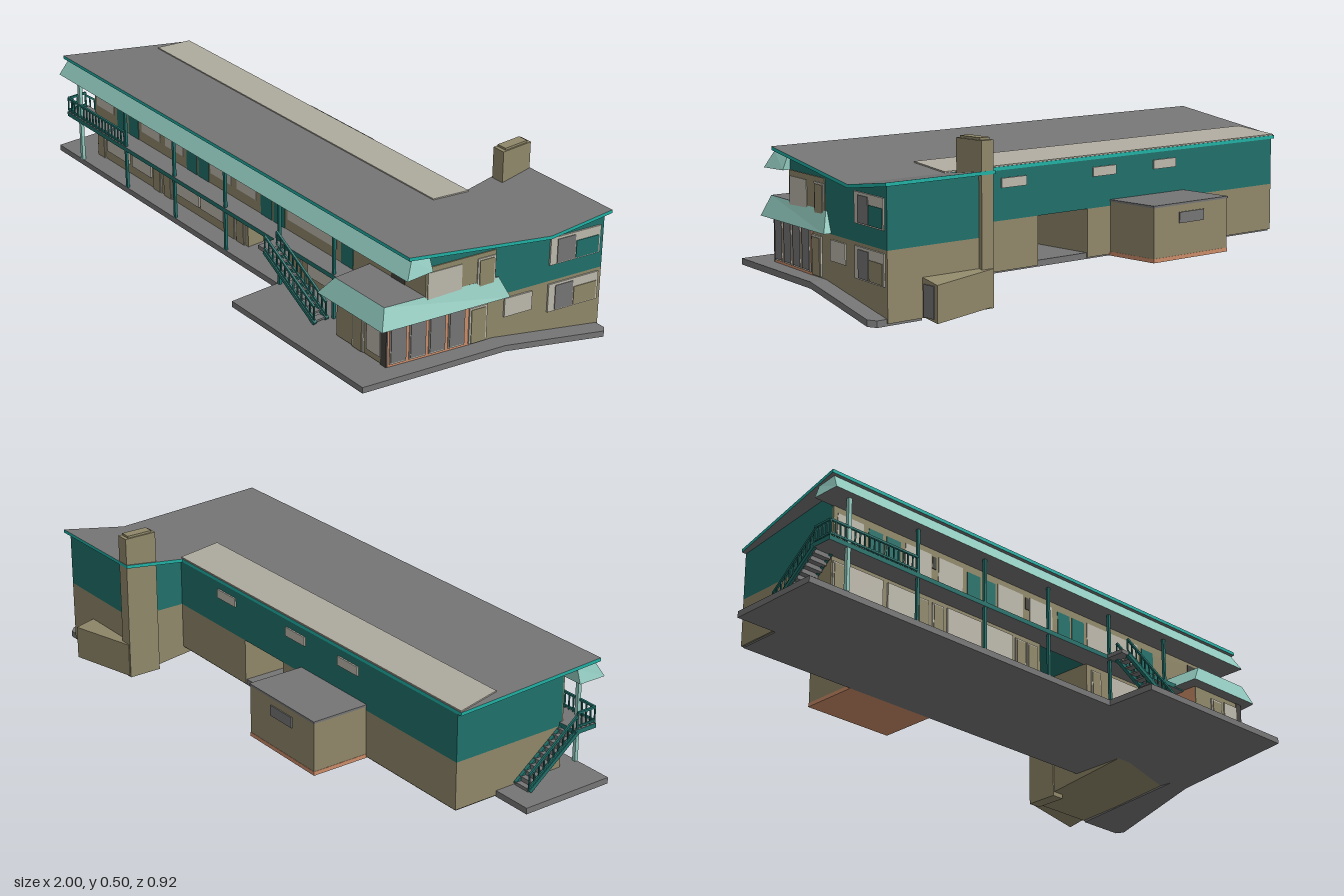
import * as THREE from 'three';

const paint = (name, color) => Object.assign(new THREE.MeshStandardMaterial({ color }), { name });

export function createModel() {
  const root = new THREE.Group();
  root.name = 'motel';
  const grey = paint('roof and paving grey', 0x757575);
  const beige = paint('beige wall', 0x8f8769);
  const teal = paint('dark teal wall', 0x20706a);
  const mint = paint('pale teal fascia', 0x90c8bd);
  const aqua = paint('bright teal trim', 0x20b0a4);
  const light = paint('light window', 0xbcb8ac);
  const tan = paint('pale roof strip', 0xaeaa9e);
  const salmon = paint('salmon trim', 0xcb8c69);
  const dark = paint('dark stone', 0x45433e);

  const add = (name, geo, mat) => {
    const mesh = new THREE.Mesh(geo, mat);
    mesh.name = name;
    root.add(mesh);
    return mesh;
  };

  // Prism over an [x, z] loop; heights may be rules of z, and the top loop may differ.
  const prism = (name, loop, y0, y1, mat, topLoop = loop) => {
    const shape = new THREE.Shape(loop.map(([x, z]) => new THREE.Vector2(x, -z)));
    const geo = new THREE.ExtrudeGeometry(shape, { depth: 1, bevelEnabled: false });
    const p = geo.attributes.position;
    const at = (y, z) => (typeof y === 'function' ? y(z) : y);
    for (let i = 0; i < p.count; i++) {
      const x = p.getX(i), z = -p.getY(i), top = p.getZ(i) > 0.5;
      const k = loop.findIndex(c => Math.hypot(c[0] - x, c[1] - z) < 1e-4);
      const [px, pz] = (top ? topLoop : loop)[k];
      p.setXYZ(i, px, at(top ? y1 : y0, pz), pz);
    }
    geo.computeVertexNormals();
    return add(name, geo, mat);
  };
  const box = (name, x0, x1, y0, y1, z0, z1, mat) => {
    const mesh = add(name, new THREE.BoxGeometry(x1 - x0, y1 - y0, z1 - z0), mat);
    mesh.position.set((x0 + x1) / 2, (y0 + y1) / 2, (z0 + z1) / 2);
    return mesh;
  };
  // Square bar between two points
  const bar = (name, a, b, w, mat) => {
    const A = new THREE.Vector3(...a), B = new THREE.Vector3(...b);
    const mesh = add(name, new THREE.BoxGeometry(w, w, A.distanceTo(B)), mat);
    mesh.position.copy(A).lerp(B, 0.5);
    mesh.lookAt(B);
  };
  // Railing: top and bottom bars with balusters, following a foot line
  const railing = (name, a, b, h, n) => {
    const up = (p, d) => [p[0], p[1] + d, p[2]];
    bar(name + 'Top', up(a, h), up(b, h), 0.007, teal);
    bar(name + 'Bottom', up(a, 0.008), up(b, 0.008), 0.006, teal);
    for (let i = 0; i <= n; i++) {
      const p = a.map((v, k) => v + (b[k] - v) * i / n);
      bar(name + 'Baluster', p, up(p, h), 0.004, teal);
    }
  };

  // Rules for the slanted right wall, the butterfly roof and the sloping ground
  const edge = z => 0.875 - 0.18 * z;
  const roofY = z => 0.378 + (z > -0.195 ? (z + 0.195) * 0.123 : (-0.195 - z) * 0.135);
  const underRoof = z => roofY(z) - 0.009;
  const groundY = z => 0.075 - Math.max(0, -0.02 - z) * 0.147;
  const sidePlate = (name, z0, z1, y0, y1, mat, t = 0.005) => prism(name,
    [[edge(z0) - 0.002, z0], [edge(z0) + t, z0], [edge(z1) + t, z1], [edge(z1) - 0.002, z1]], y0, y1, mat);
  const frontPlate = (name, x0, x1, y0, y1, mat, z = 0.21) => box(name, x0, x1, y0, y1, z, z + 0.006, mat);

  // Paving, with the ramp falling away to the back
  prism('paving', [[-1, 0.28], [0.23, 0.28], [0.23, 0.455], [0.85, 0.455], [0.936, -0.02], [0.86, -0.02],
    [0.86, -0.19], [-0.86, -0.19], [-0.86, -0.04], [-1, -0.04]], 0.055, 0.075, grey);
  prism('ramp', [[0.86, -0.02], [0.936, -0.02], [1, -0.37], [0.98, -0.39], [0.82, -0.39]],
    z => groundY(z) - 0.02, groundY, grey);

  // Lower storey
  box('lowerWallWest', -0.865, -0.01, 0.06, 0.215, -0.195, 0.21, beige);
  box('lowerWallEast', 0.2, 0.6, 0.06, 0.215, -0.195, 0.21, beige);
  prism('lowerWing', [[0.57, 0.07], [edge(0.07), 0.07], [edge(-0.02), -0.02], [edge(-0.395), -0.395], [0.57, -0.395]],
    z => groundY(z) - 0.012, 0.215, beige);

  // Upper storey
  prism('upperWall', [[-0.865, 0.21], [edge(0.21), 0.21], [edge(-0.195), -0.195], [-0.865, -0.195]],
    0.215, underRoof, teal);
  prism('upperWing', [[0.57, -0.195], [edge(-0.195), -0.195], [edge(-0.395), -0.395], [0.57, -0.395]],
    0.215, underRoof, teal);
  frontPlate('upperFrontWall', -0.865, 0.837, 0.215, 0.376, beige, 0.208);
  sidePlate('upperSideWall', 0.214, -0.02, 0.215, 0.375, beige, 0.003);
  box('walkway', -0.935, 0.6, 0.213, 0.228, 0.2, 0.283, [teal, teal, grey, grey, teal, teal]);

  // Roof
  prism('mainRoof', [[-0.935, 0.288], [0.85, 0.288], [0.93, -0.195], [-0.88, -0.195]],
    underRoof, z => roofY(z) + 0.002, [grey, aqua]);
  prism('wingRoof', [[0.56, -0.195], [0.93, -0.195], [0.962, -0.41], [0.56, -0.41]],
    underRoof, z => roofY(z) + 0.002, [grey, aqua]);
  prism('roofStrip', [[-0.862, -0.05], [0.57, -0.05], [0.57, -0.193], [-0.877, -0.193]],
    roofY, z => roofY(z) + 0.006, tan);
  prism('roofFascia', [[-0.935, 0.307], [0.865, 0.307], [0.865, 0.21], [-0.935, 0.21]], 0.375, underRoof, [grey, mint],
    [[-0.92, 0.277], [0.846, 0.277], [0.846, 0.21], [-0.92, 0.21]]);

  // Chimney with cap
  box('chimney', 0.565, 0.61, 0.005, 0.498, -0.408, -0.295, beige);
  box('chimneyCap', 0.57, 0.605, 0.498, 0.505, -0.396, -0.307, beige);

  // Back room and shed
  box('backRoom', -0.44, -0.11, 0.068, 0.228, -0.39, -0.19, beige);
  box('backRoomRoof', -0.442, -0.108, 0.228, 0.235, -0.392, -0.19, grey);
  box('backRoomBase', -0.441, -0.109, 0.055, 0.068, -0.391, -0.19, salmon);
  box('backRoomVent', -0.33, -0.22, 0.17, 0.205, -0.394, -0.39, grey);
  prism('shed', [[0.57, -0.395], [0.82, -0.395], [0.82, -0.46], [0.57, -0.41]],
    z => 0.012 + (z + 0.395) * 0.18, z => 0.125 + (z + 0.395) * 0.22, beige);
  box('shedDoor', 0.818, 0.824, 0.012, 0.107, -0.447, -0.403, grey);

  // Entrance canopy
  prism('canopy', [[0.54, 0.372], [0.835, 0.372], [0.912, -0.055], [0.6, -0.055], [0.6, 0.2], [0.54, 0.2]],
    0.217, 0.281, [grey, mint],
    [[0.59, 0.346], [0.812, 0.346], [0.885, -0.03], [0.6, -0.03], [0.6, 0.2], [0.59, 0.2]]);

  // Glazed office below the canopy
  const bay = z => 0.878 - 0.2 * z;
  prism('office', [[0.585, 0.33], [bay(0.33), 0.33], [bay(0.06), 0.06], [0.585, 0.06]], 0.075, 0.217, salmon);
  frontPlate('officeFrontWall', 0.585, 0.79, 0.078, 0.216, beige, 0.328);
  frontPlate('officeDoor', 0.66, 0.712, 0.08, 0.195, light, 0.332);
  frontPlate('officeDoorPanel', 0.667, 0.705, 0.08, 0.188, beige, 0.334);
  frontPlate('officeWindow', 0.725, 0.785, 0.1, 0.2, light, 0.332);
  frontPlate('officeStone', 0.787, 0.812, 0.076, 0.216, dark, 0.33);
  for (let i = 0; i < 4; i++) {
    const z0 = 0.325 - i * 0.064, z1 = z0 - 0.054;
    const strip = (name, a, b, y0, y1, t, mat) =>
      prism(name, [[bay(a), a], [bay(a) + t, a], [bay(b) + t, b], [bay(b), b]], y0, y1, mat);
    strip('officeGlassFrame', z0, z1, 0.083, 0.214, 0.003, light);
    strip('officeGlass', z0 - 0.003, z1 + 0.003, 0.088, 0.212, 0.005, grey);
  }

  // Front windows and doors, lower then upper storey
  for (const [x0, x1] of [[-0.8, -0.67], [-0.65, -0.54], [-0.41, -0.27], [-0.26, -0.135], [0.3, 0.44]])
    frontPlate('lowerWindow', x0, x1, 0.11, 0.2, light);
  for (const x of [-0.86, -0.53, -0.47, -0.12, -0.07, 0.22, 0.47]) {
    frontPlate('lowerDoorFrame', x, x + 0.045, 0.075, 0.198, light, 0.207);
    frontPlate('lowerDoor', x + 0.005, x + 0.04, 0.075, 0.193, beige, 0.209);
  }
  for (const [x0, x1] of [[-0.85, -0.75], [-0.585, -0.48], [-0.45, -0.35], [-0.2, -0.09], [-0.06, 0.04], [0.2, 0.44]])
    frontPlate('upperWindow', x0, x1, 0.265, 0.355, light);
  for (const x of [-0.73, -0.66, -0.33, -0.265, 0.065, 0.13, 0.46])
    frontPlate('upperDoor', x, x + 0.055, 0.228, 0.35, teal);
  frontPlate('eastUpperDoor', 0.69, 0.75, 0.24, 0.365, dark);
  for (const x of [-0.475, -0.08]) frontPlate('wallLamp', x, x + 0.015, 0.31, 0.35, dark);

  // Right side windows and doors
  for (const [y0, y1] of [[0.27, 0.362], [0.11, 0.205]]) {
    sidePlate('sideWindow', -0.207, -0.382, y0, y1, light);
    sidePlate('sideWindowPane', -0.23, -0.292, y0 + 0.004, y1 - 0.008, grey, 0.007);
    sidePlate('sideWindowPane', -0.296, -0.375, y0 + 0.004, y1 - 0.03, y0 > 0.2 ? teal : beige, 0.007);
  }
  sidePlate('smallSideWindow', -0.055, -0.15, 0.137, 0.2, light);
  sidePlate('loungeWindow', 0.208, 0.095, 0.27, 0.358, light);
  for (const [z, y] of [[0.043, 0.24], [0.065, 0.08]]) {
    sidePlate('sideDoorFrame', z, z - 0.06, y, y + 0.12, light, 0.006);
    sidePlate('sideDoor', z - 0.006, z - 0.054, y, y + 0.114, beige, 0.008);
  }

  // High windows in the back wall
  for (const x of [0.3, -0.08, -0.35]) box('backWindow', x - 0.05, x + 0.05, 0.315, 0.345, -0.2, -0.194, light);

  // Walkway posts and railings
  bar('endPost', [-0.86, 0.075, 0.276], [-0.86, 0.376, 0.276], 0.012, mint);
  for (const x of [-0.59, -0.315, -0.04, 0.237, 0.5])
    bar('post', [x, 0.075, 0.276], [x, 0.376, 0.276], 0.009, teal);
  railing('walkwayRail', [-0.93, 0.228, 0.28], [-0.595, 0.228, 0.28], 0.052, 18);
  railing('walkwayEndRail', [-0.93, 0.228, 0.21], [-0.93, 0.228, 0.28], 0.052, 4);

  // Front stair, down towards the right
  box('stairLanding', 0.22, 0.26, 0.215, 0.228, 0.28, 0.345, grey);
  for (let i = 0; i < 10; i++) {
    const x = 0.26 + i * 0.023, y = 0.213 - i * 0.0142;
    box('frontTread', x, x + 0.025, y - 0.006, y, 0.297, 0.342, grey);
  }
  for (const z of [0.297, 0.343]) {
    bar('frontStringer', [0.25, 0.218, z], [0.495, 0.078, z], 0.012, teal);
    railing('frontStairRail', [0.25, 0.222, z], [0.49, 0.084, z], 0.05, 12);
  }

  // End stair, down towards the back
  for (let i = 0; i < 10; i++) {
    const z = 0.21 - i * 0.018, y = 0.213 - i * 0.0142;
    box('endTread', -0.928, -0.868, y - 0.014, y, z - 0.02, z, grey);
  }
  for (const x of [-0.93, -0.87]) bar('endStringer', [x, 0.218, 0.212], [x, 0.078, 0.03], 0.012, teal);
  railing('endStairRail', [-0.93, 0.222, 0.212], [-0.93, 0.082, 0.03], 0.05, 10);

  return root;
}
